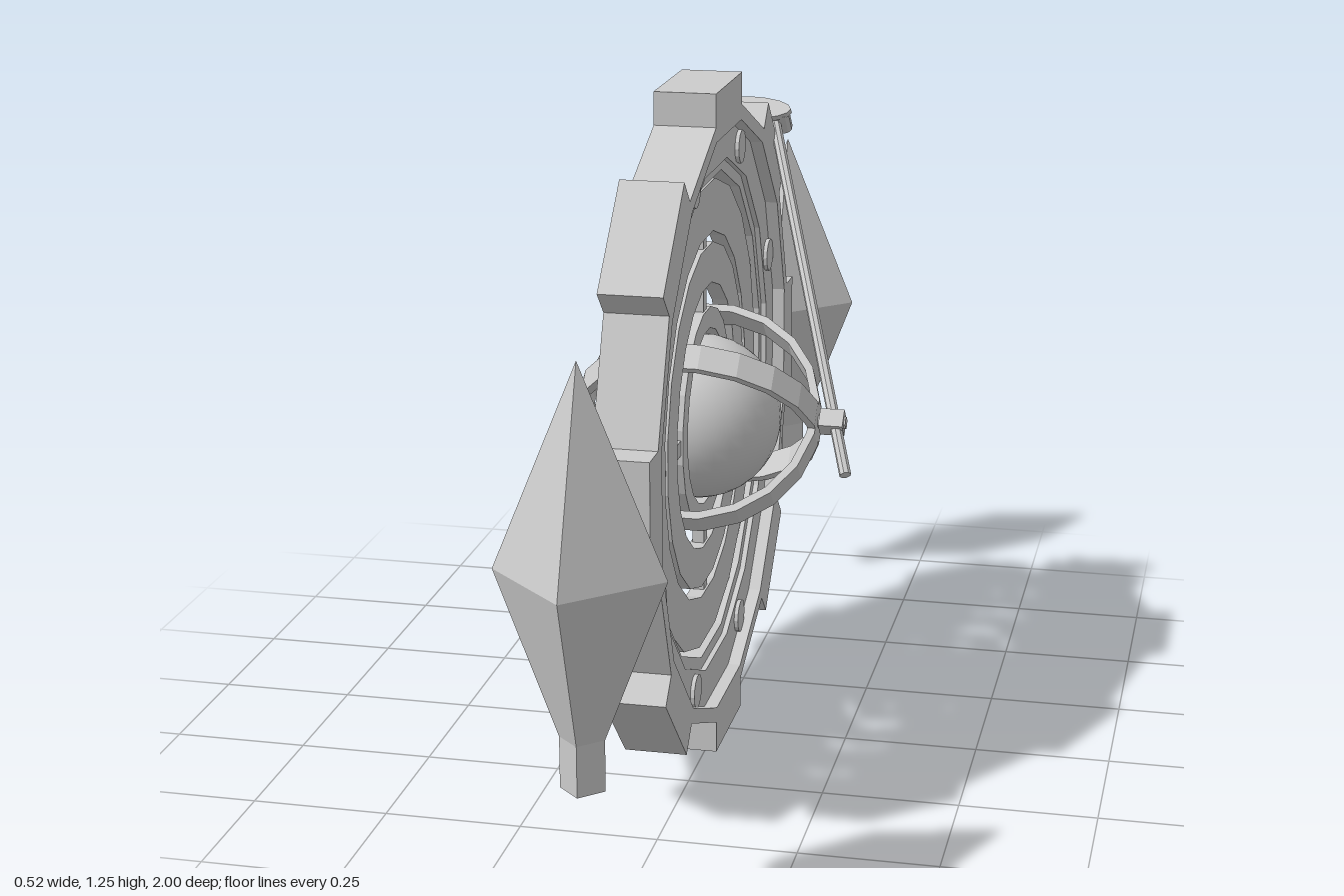
import * as THREE from 'three';

const CX = -0.034, CY = 0.623;
const mat = new THREE.MeshStandardMaterial({ color: 0xcccccc, flatShading: true });
const smooth = new THREE.MeshStandardMaterial({ color: 0xcccccc });

function add(parent, name, geometry, material = mat) {
  const mesh = new THREE.Mesh(geometry, material);
  mesh.name = name;
  parent.add(mesh);
  return mesh;
}

// Flat polygonal ring lying in the y-z plane, centred on x = 0
function ringGeometry(outer, inner, width, sides) {
  const points = (r) => Array.from({ length: sides }, (_, i) => {
    const a = ((i + 0.5) / sides) * Math.PI * 2;
    return new THREE.Vector2(Math.cos(a) * r, Math.sin(a) * r);
  });
  const shape = new THREE.Shape(points(outer));
  shape.holes.push(new THREE.Path(points(inner)));
  const g = new THREE.ExtrudeGeometry(shape, { depth: width, bevelEnabled: false });
  return g.translate(0, 0, -width / 2).rotateY(Math.PI / 2);
}

// Cylinder between two points
function rod(parent, name, a, b, radius, sides) {
  const d = b.clone().sub(a);
  const mesh = add(parent, name, new THREE.CylinderGeometry(radius, radius, d.length(), sides));
  mesh.position.copy(a).addScaledVector(d, 0.5);
  mesh.quaternion.setFromUnitVectors(new THREE.Vector3(0, 1, 0), d.normalize());
  return mesh;
}

function createWheel() {
  const wheel = new THREE.Group();
  wheel.name = 'wheel';
  wheel.position.set(CX, CY, 0);

  // Outer frame: full-width rim with a recessed web
  add(wheel, 'outerRim', ringGeometry(0.578, 0.55, 0.113, 16));
  add(wheel, 'rimWeb', ringGeometry(0.555, 0.48, 0.065, 16));
  add(wheel, 'innerLip', ringGeometry(0.482, 0.457, 0.045, 16));

  // Teeth and bolts around the frame
  for (let i = 0; i < 8; i++) {
    const tooth = add(wheel, 'tooth', new THREE.BoxGeometry(0.113, 0.064, 0.225));
    const a = (i * Math.PI) / 4;
    tooth.position.set(0, Math.cos(a) * 0.595, Math.sin(a) * 0.595);
    tooth.rotation.x = a;
    const b = a + Math.PI / 8;
    const bolt = add(wheel, 'bolt', new THREE.CylinderGeometry(0.032, 0.032, 0.08, 14));
    bolt.rotation.z = Math.PI / 2;
    bolt.position.set(0, Math.cos(b) * 0.51, Math.sin(b) * 0.51);
  }

  // Concentric inner rings joined by short spokes
  [[0.442, 0.345], [0.325, 0.25], [0.205, 0.165]].forEach(([o, i]) =>
    add(wheel, 'innerRing', ringGeometry(o, i, 0.03, 20)));
  for (let i = 0; i < 4; i++) {
    const a = (i * Math.PI) / 2;
    const spoke = add(wheel, 'spoke', new THREE.BoxGeometry(0.022, 0.18, 0.028));
    spoke.position.set(0, Math.cos(a) * 0.27, Math.sin(a) * 0.27);
    spoke.rotation.x = a;
  }

  // Central globe with two crossed bands
  add(wheel, 'globe', new THREE.SphereGeometry(0.153, 32, 20), smooth);
  for (const s of [-1, 1]) {
    const band = add(wheel, 'globeBand', ringGeometry(0.228, 0.213, 0.05, 20));
    band.geometry.rotateZ(Math.PI / 2);
    band.rotation.x = (s * Math.PI) / 4;
  }
  return wheel;
}

function createPointer() {
  const pointer = new THREE.Group();
  pointer.name = 'pointer';

  // Long rod, pivoted on the globe bands
  rod(pointer, 'pointerRod', new THREE.Vector3(0.255, 0.55, 0.075),
    new THREE.Vector3(0.01, 1.105, -0.475), 0.011, 8);
  const hub = add(pointer, 'pivotHub', new THREE.BoxGeometry(0.045, 0.036, 0.036));
  hub.position.set(0.217, 0.626, 0);
  hub.rotation.x = Math.PI / 4;
  rod(pointer, 'pivotPin', new THREE.Vector3(0.18, 0.626, 0),
    new THREE.Vector3(0.243, 0.626, 0), 0.012, 8);

  // Bracket at the tip: oval plate with two legs and a knob
  const bracket = new THREE.Group();
  bracket.name = 'tipBracket';
  bracket.position.set(CX, 1.115, -0.45);
  bracket.rotation.x = Math.PI / 4;
  const plate = add(bracket, 'bracketPlate', new THREE.CylinderGeometry(0.085, 0.085, 0.014, 16));
  plate.scale.z = 0.3;
  for (const s of [-1, 1]) {
    const leg = add(bracket, 'bracketLeg', new THREE.CylinderGeometry(0.016, 0.016, 0.055, 10));
    leg.position.set(s * 0.064, -0.03, 0);
  }
  const knob = add(bracket, 'bracketKnob', new THREE.SphereGeometry(0.026, 14, 10), smooth);
  knob.position.y = -0.03;
  pointer.add(bracket);
  return pointer;
}

// Four-sided spike with a short stem
function createSpike(z) {
  const profile = [[0, 0.256], [0.038, 0.256], [0.038, 0.345], [0.143, CY], [0, 0.973]]
    .map(([r, y]) => new THREE.Vector2(r, y));
  const spike = new THREE.Group();
  spike.name = 'spike';
  add(spike, 'spikeBody', new THREE.LatheGeometry(profile, 4));
  spike.scale.z = 0.937;
  spike.position.set(CX, 0, z);
  return spike;
}

export function createModel() {
  const model = new THREE.Group();
  model.name = 'gyroscopeWheel';
  model.add(createWheel(), createPointer(), createSpike(0.866), createSpike(-0.866));
  return model;
}
